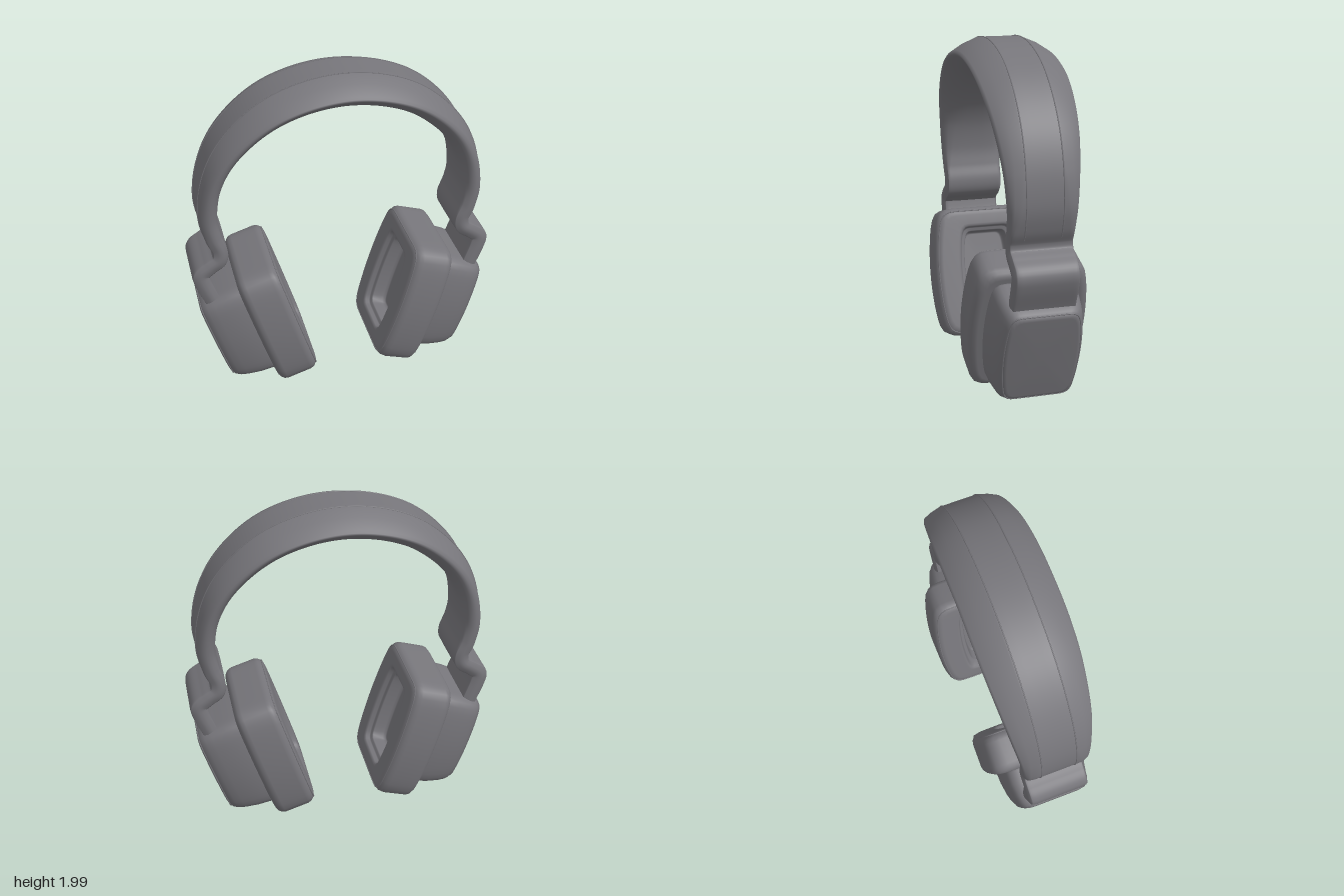
import * as THREE from 'three';

const grey = new THREE.MeshStandardMaterial({ color: 0x77767b });
grey.name = 'grey leather';

// Skin a list of equal-length closed rings; optionally fan-cap both ends.
function loft(rings, capped) {
  const n = rings[0].length, pos = [], idx = [];
  rings.forEach(r => r.forEach(p => pos.push(p.x, p.y, p.z)));
  for (let i = 0; i < rings.length - 1; i++) {
    for (let j = 0; j < n; j++) {
      const k = (j + 1) % n;
      const a = i * n + j, b = i * n + k, c = a + n, d = b + n;
      idx.push(a, b, d, a, d, c);
    }
  }
  if (capped) {
    const last = (rings.length - 1) * n;
    for (let j = 1; j < n - 1; j++) {
      idx.push(0, j + 1, j, last, last + j, last + j + 1);
    }
  }
  const g = new THREE.BufferGeometry();
  g.setAttribute('position', new THREE.Float32BufferAttribute(pos, 3));
  g.setIndex(idx);
  g.computeVertexNormals();
  return g;
}

function part(name, geometry) {
  const m = new THREE.Mesh(geometry, grey);
  m.name = name;
  return m;
}

// Rounded rectangle in the y-z plane whose long sides bow outward.
function cushionRing([x, hy, hz], n = 80, power = 11, bow = 0.13) {
  return Array.from({ length: n }, (_, i) => {
    const a = (i / n) * Math.PI * 2, c = Math.cos(a), s = Math.sin(a);
    const r = (Math.abs(c) ** power + Math.abs(s) ** power) ** (-1 / power);
    return new THREE.Vector3(x, hy * c * r, hz * s * r * (1 - bow * (c * r) ** 2));
  });
}
const cushion = profile => loft(profile.map(p => cushionRing(p)), false);

function seam(points, closed) {
  const curve = new THREE.CatmullRomCurve3(points, closed);
  return part('seam', new THREE.TubeGeometry(curve, 160, 0.004, 5, closed));
}

// Headband: centre line, plus half thickness, half width and half edge height.
const half = [
  // x, y, thickness, width, edge
  [0, 1.905, 0.095, 0.27, 0.012],
  [0.206, 1.881, 0.094, 0.27, 0.012],
  [0.4, 1.812, 0.09, 0.265, 0.014],
  [0.562, 1.699, 0.081, 0.252, 0.018],
  [0.69, 1.553, 0.07, 0.235, 0.022],
  [0.768, 1.382, 0.06, 0.215, 0.026],
  [0.795, 1.2, 0.055, 0.2, 0.03],
  [0.775, 1.07, 0.05, 0.193, 0.03],
  [0.742, 0.98, 0.044, 0.19, 0.032],
  [0.752, 0.915, 0.045, 0.19, 0.034],
  [0.81, 0.873, 0.046, 0.19, 0.034],
  [0.862, 0.828, 0.05, 0.19, 0.036],
  [0.855, 0.765, 0.05, 0.19, 0.036],
  [0.808, 0.64, 0.046, 0.19, 0.034],
  [0.78, 0.55, 0.046, 0.19, 0.034],
];
const stations = [
  ...half.slice(1).reverse().map(([x, ...rest]) => [-x, ...rest]),
  ...half,
];

function buildBand() {
  const path = new THREE.CatmullRomCurve3(
    stations.map(s => new THREE.Vector3(s[0], s[1], 0)), false, 'catmullrom', 0.5);
  const size = new THREE.CatmullRomCurve3(
    stations.map(s => new THREE.Vector3(s[2], s[3], s[4])), false, 'catmullrom', 0.5);
  const rings = [], seams = [[], []], steps = 224;
  for (let i = 0; i <= steps; i++) {
    const u = i / steps, c = path.getPoint(u), t = path.getTangent(u);
    const { x: th, y: w, z: e } = size.getPoint(u);
    const at = (z, n) => new THREE.Vector3(c.x - t.y * n, c.y + t.x * n, z);
    // Flat outer strip, sloping flanks, rounded edge and soft inner pad.
    const slim = THREE.MathUtils.clamp((0.06 - th) / 0.012, 0, 1);
    const f = THREE.MathUtils.lerp(0.11, w - 0.03, slim);
    const side = [
      [f * 0.5, th], [f - 0.01, th], [f + 0.006, th * 0.98],
      [(f + w) / 2, (th + e) / 2 + 0.1 * th],
      [w - 0.012, e + 0.008], [w - 0.002, e * 0.5], [w, 0], [w - 0.003, -e * 0.6],
      [w - 0.015, -e - 0.006],
      [(f + w) / 2, -(th + e) / 2 - 0.1 * th],
      [f, -th * 0.96], [f * 0.5, -th],
    ];
    rings.push([
      at(0, th), ...side.map(p => at(p[0], p[1])),
      at(0, -th), ...side.slice().reverse().map(p => at(-p[0], p[1])),
    ]);
    if (c.y > 0.99 && i % 4 === 0) {
      seams[0].push(at(0.105, th));
      seams[1].push(at(-0.105, th));
    }
  }
  const band = new THREE.Group();
  band.name = 'headband';
  band.add(part('band', loft(rings, true)));
  seams.forEach(s => band.add(seam(s, false)));
  return band;
}

// One earcup, with local +x pointing away from the head.
function buildEarcup() {
  const cup = new THREE.Group();
  cup.name = 'earcup';
  // Ear pad with a stepped recess on its inner face.
  cup.add(part('earPad', cushion([
    [0, 0, 0], [0, 0.235, 0.13], [-0.004, 0.245, 0.14], [-0.02, 0.25, 0.146],
    [-0.085, 0.255, 0.152], [-0.092, 0.26, 0.157], [-0.094, 0.275, 0.172],
    [-0.1, 0.28, 0.177], [-0.12, 0.285, 0.182], [-0.128, 0.292, 0.189],
    [-0.13, 0.305, 0.2], [-0.13, 0.36, 0.3], [-0.126, 0.378, 0.318],
    [-0.115, 0.394, 0.334], [-0.098, 0.406, 0.346], [-0.075, 0.411, 0.351],
    [0.075, 0.411, 0.351], [0.098, 0.406, 0.346], [0.115, 0.394, 0.334],
    [0.126, 0.378, 0.318], [0.13, 0.36, 0.3], [0.13, 0, 0],
  ])));
  // Tapered outer shell.
  cup.add(part('shell', cushion([
    [0.1, 0, 0], [0.1, 0.335, 0.265], [0.14, 0.337, 0.271], [0.22, 0.33, 0.268],
    [0.3, 0.318, 0.256], [0.345, 0.308, 0.244], [0.372, 0.295, 0.23],
    [0.388, 0.28, 0.215], [0.395, 0.262, 0.198], [0.395, 0, 0],
  ])));
  cup.add(seam(cushionRing([-0.12, 0.389, 0.329]), true));
  cup.add(seam(cushionRing([0.384, 0.285, 0.22]), true));
  cup.position.set(0.43, 0.435, 0);
  cup.rotation.z = THREE.MathUtils.degToRad(-17.5);
  return cup;
}

export function createModel() {
  const model = new THREE.Group();
  model.name = 'headphones';
  model.add(buildBand());
  // The earcup is symmetric front to back, so a half turn gives the other side.
  ['leftSide', 'rightSide'].forEach((name, i) => {
    const side = new THREE.Group();
    side.name = name;
    side.rotation.y = i * Math.PI;
    side.add(buildEarcup());
    model.add(side);
  });
  return model;
}
